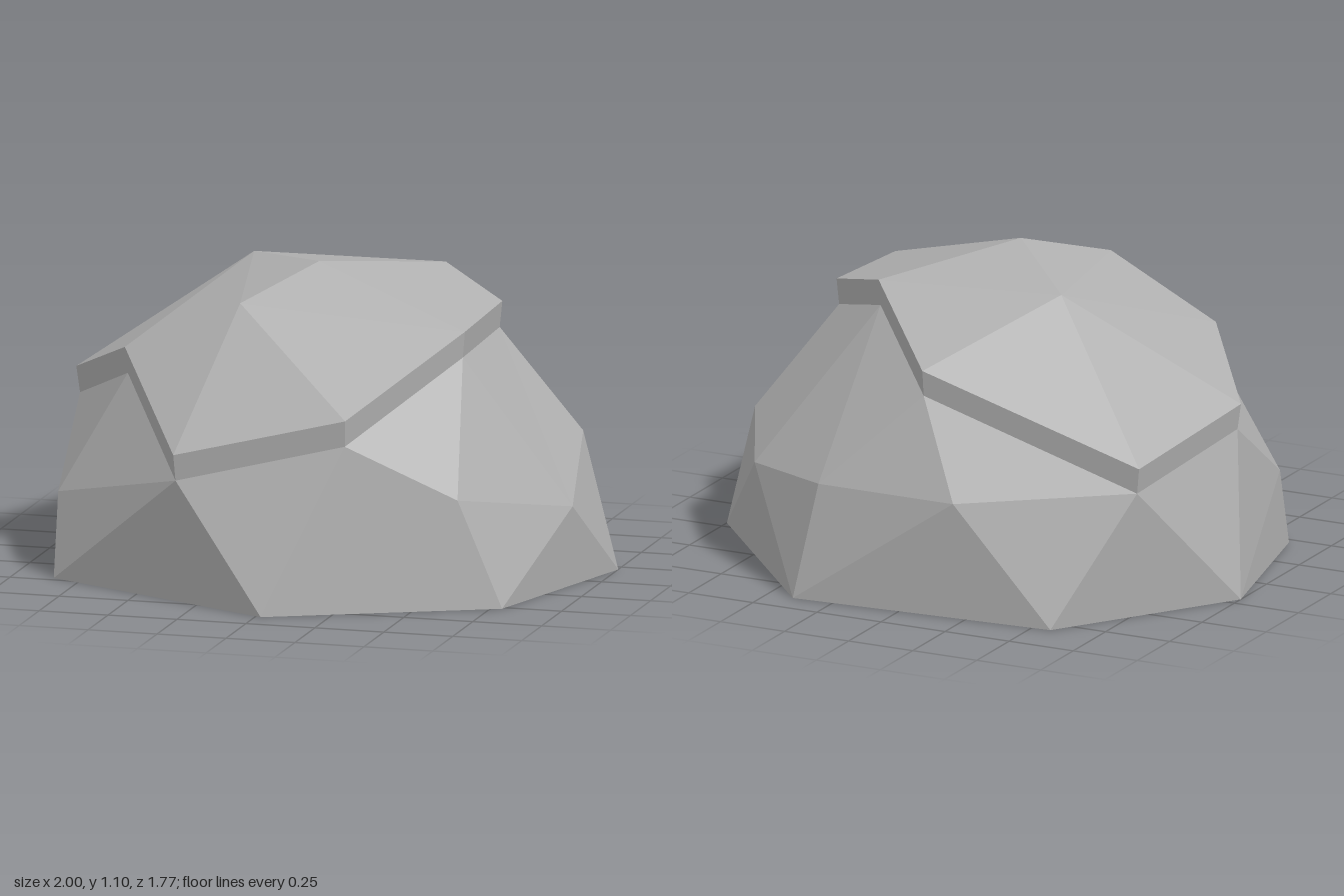
import * as THREE from 'three';

// Corner points of the rock, grouped by level
const ground = {
  g0: [-1, 0, -0.2], g1: [-0.85, 0, 0.47], g2: [0.02, 0, 0.885], g3: [0.79, 0, 0.52],
  g4: [1, 0, -0.21], g5: [0.4, 0, -0.89], g6: [-0.57, 0, -0.82],
};
const waist = {
  m1: [0.64, 0.385, 0.56], m2: [0.93, 0.29, 0.12], m3: [0.85, 0.47, -0.29], m4: [0.7, 0.37, -0.59],
  m5: [0.33, 0.41, -0.83], m6: [-0.21, 0.42, -0.86], m7: [-0.86, 0.29, 0.38],
};
const ledge = {
  a: [-0.32, 0.54, 0.805], b: [0.28, 0.68, 0.725], c: [0.58, 0.92, 0.26], d: [0.59, 0.94, -0.175],
  e: [0.33, 1.025, -0.365], f: [-0.02, 0.84, -0.72], g: [-0.8, 0.555, -0.59],
  h: [-0.91, 0.65, -0.02], i: [-0.63, 0.81, 0.34],
};
const crown = { p: [0, 1.1, 0.08], q: [-0.34, 1.04, -0.28], r: [-0.2, 1, 0.38] };

// The foot of the ledge is its upper edge, dropped and drawn in slightly
const ledgeFoot = {};
for (const [name, [x, y, z]] of Object.entries(ledge)) ledgeFoot[name] = [x * 0.985, y - 0.093, z * 0.985];

// Triangles from a centre point to a run of neighbours; closed runs return to their start
function fan(points, centre, run, closed = false) {
  const names = run.split(' ');
  const tris = [];
  for (let i = 0; i < names.length - (closed ? 0 : 1); i++) {
    tris.push(...points[names[i]], ...points[names[(i + 1) % names.length]], ...points[centre]);
  }
  return tris;
}

function facetedMesh(name, positions, material) {
  const geometry = new THREE.BufferGeometry();
  geometry.setAttribute('position', new THREE.Float32BufferAttribute(positions, 3));
  geometry.computeVertexNormals();
  const mesh = new THREE.Mesh(geometry, material);
  mesh.name = name;
  return mesh;
}

export function createModel() {
  const rock = new THREE.Group();
  rock.name = 'rock';
  const stone = new THREE.MeshStandardMaterial({ color: 0xb0b0b0, flatShading: true, side: THREE.DoubleSide });
  stone.name = 'grey stone';

  // Lower body, open underneath
  const low = { ...ground, ...waist, ...ledgeFoot };
  rock.add(facetedMesh('lowerRock', [
    ...fan(low, 'm1', 'g2 g3 m2 c b', true),
    ...fan(low, 'm3', 'g4 m4 e d m2', true),
    ...fan(low, 'm5', 'g5 m6 f e m4', true),
    ...fan(low, 'm7', 'g0 g1 a i h', true),
    ...fan(low, 'g2', 'b a g1'),
    ...fan(low, 'm2', 'd c'),
    ...fan(low, 'm2', 'g3 g4'),
    ...fan(low, 'm4', 'g4 g5'),
    ...fan(low, 'g6', 'g0 g m6 g5'),
    ...fan(low, 'g', 'f m6'),
    ...fan(low, 'g', 'g0 h'),
  ], stone));

  // Narrow step around the upper slab
  const names = Object.keys(ledge);
  const step = names.flatMap((n, i) => {
    const next = names[(i + 1) % names.length];
    return [...ledgeFoot[n], ...ledgeFoot[next], ...ledge[next],
      ...ledgeFoot[n], ...ledge[next], ...ledge[n]];
  });
  rock.add(facetedMesh('ledgeStep', step, stone));

  // Upper slab
  const high = { ...ledge, ...crown };
  rock.add(facetedMesh('upperSlab', [
    ...fan(high, 'r', 'a b c p q i', true),
    ...fan(high, 'p', 'c e q'),
    ...fan(high, 'q', 'e f g h i'),
    ...fan(high, 'c', 'd e'),
  ], stone));

  return rock;
}
